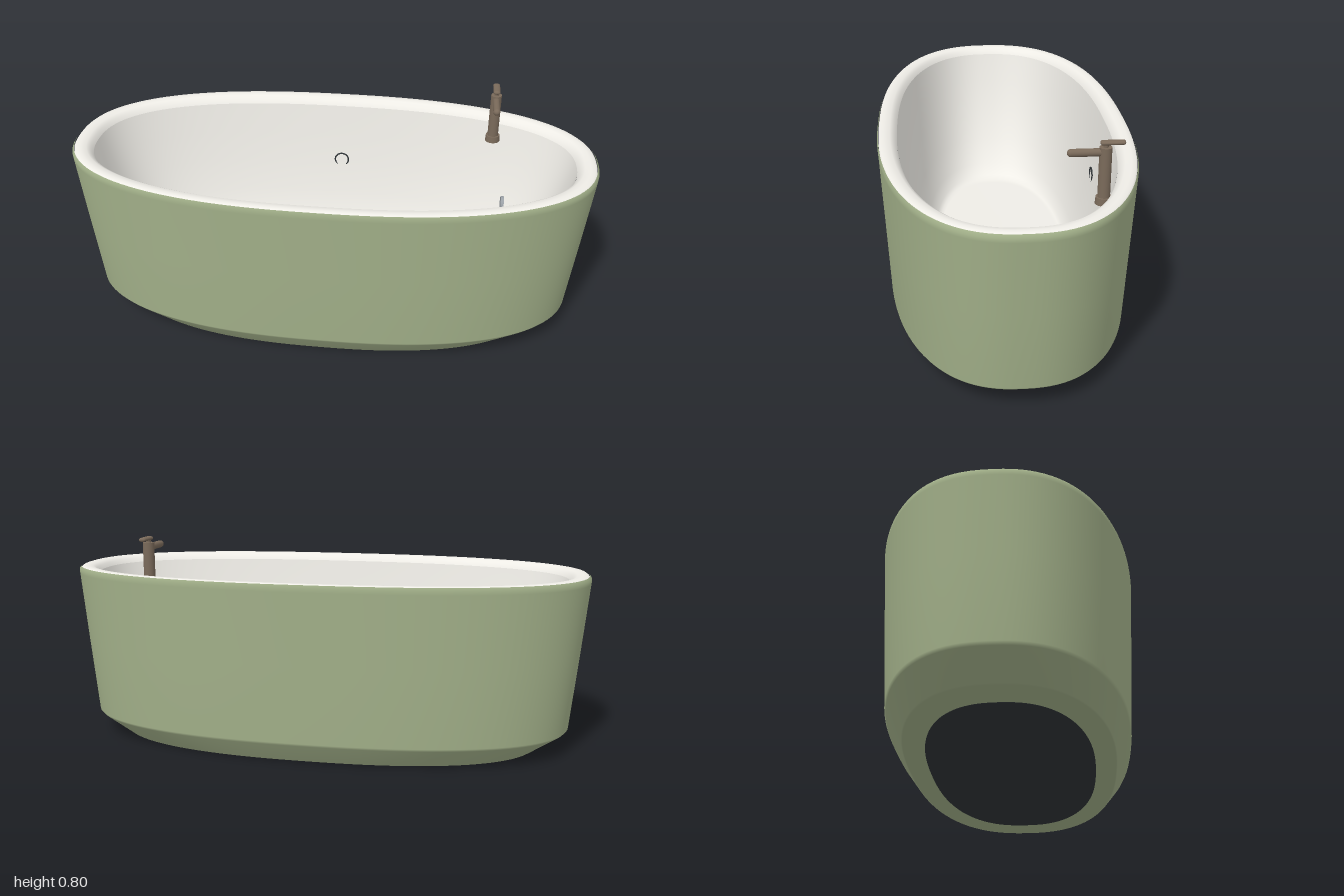
import * as THREE from 'three';

const SEGMENTS = 128;
const POWER = 2.4; // roundness of the oval plan

const material = (color, extra = {}) => new THREE.MeshStandardMaterial({ color, ...extra });

// Lofts oval rings [halfLength, halfDepth, y]; the surface faces the left of travel
function loft(rings) {
  const positions = [], indices = [];
  const soft = (v) => Math.sign(v) * Math.pow(Math.abs(v), 2 / POWER);
  rings.forEach(([a, b, y], r) => {
    for (let i = 0; i < SEGMENTS; i++) {
      const t = (i / SEGMENTS) * Math.PI * 2;
      positions.push(a * soft(Math.cos(t)), y, b * soft(Math.sin(t)));
      if (r === rings.length - 1) continue;
      const j = (i + 1) % SEGMENTS;
      const p = r * SEGMENTS + i, q = r * SEGMENTS + j;
      indices.push(p, p + SEGMENTS, q, q, p + SEGMENTS, q + SEGMENTS);
    }
  });
  const geometry = new THREE.BufferGeometry();
  geometry.setAttribute('position', new THREE.Float32BufferAttribute(positions, 3));
  geometry.setIndex(indices);
  geometry.computeVertexNormals();
  return geometry;
}

export function createModel() {
  const model = new THREE.Group();
  const green = material(0xa3b18a);
  const white = material(0xeeece6);
  const bronze = material(0x7a6a5a);
  const chrome = material(0x9aa0a6);
  const dark = material(0x2f3437);

  const add = (parent, name, geometry, mat, x = 0, y = 0, z = 0) => {
    const mesh = new THREE.Mesh(geometry, mat);
    mesh.name = name;
    mesh.position.set(x, y, z);
    parent.add(mesh);
    return mesh;
  };

  // Outer shell: underside, bevelled foot, flared wall
  add(model, 'outerShell', loft([
    [0.001, 0.001, 0.002], [0.81, 0.385, 0.002], [0.82, 0.39, 0.004],
    [0.93, 0.44, 0.076], [0.94, 0.445, 0.086], [0.97, 0.458, 0.37],
    [0.997, 0.471, 0.64], [0.998, 0.472, 0.655], [0.99, 0.468, 0.666],
  ]), green);

  // Rounded rim
  add(model, 'rim', loft([
    [0.99, 0.467, 0.66], [0.982, 0.462, 0.666], [0.965, 0.447, 0.668],
    [0.945, 0.425, 0.665], [0.93, 0.41, 0.655], [0.92, 0.4, 0.638],
  ]), white);

  // Basin: sloping walls down to a flat oval floor
  add(model, 'basin', loft([
    [0.92, 0.4, 0.64], [0.885, 0.38, 0.52], [0.84, 0.357, 0.4],
    [0.78, 0.327, 0.27], [0.71, 0.293, 0.17], [0.66, 0.268, 0.13],
    [0.63, 0.255, 0.12], [0.6, 0.243, 0.118], [0.001, 0.001, 0.116],
  ]), white);

  // Dark plate under the tub
  add(model, 'basePlate', loft([
    [0.001, 0.001, 0], [0.68, 0.31, 0], [0.68, 0.31, 0.004],
  ]), dark);

  // Floor drain: disc, ring and cross
  const drain = new THREE.Group();
  drain.name = 'drain';
  drain.position.y = 0.118;
  model.add(drain);
  add(drain, 'drainDisc', new THREE.CylinderGeometry(0.028, 0.028, 0.008, 32), chrome);
  add(drain, 'drainRing', new THREE.TorusGeometry(0.026, 0.004, 8, 32), chrome, 0, 0.004).rotation.x = Math.PI / 2;
  add(drain, 'drainPlug', new THREE.CylinderGeometry(0.01, 0.01, 0.012, 20), dark, 0, 0.001);

  // Overflow ring on the back wall and overflow cover near the tap end
  add(model, 'overflowRing', new THREE.TorusGeometry(0.028, 0.003, 8, 32), dark, 0, 0.41, -0.357);
  add(model, 'overflowCover', new THREE.CylinderGeometry(0.03, 0.03, 0.012, 32), chrome, 0.66, 0.46, 0).rotation.z = Math.PI / 2;

  // Tap: flange, post, spout and lever
  const tap = new THREE.Group();
  tap.name = 'tap';
  tap.position.set(0.618, 0, -0.292);
  model.add(tap);
  add(tap, 'tapFlange', new THREE.CylinderGeometry(0.027, 0.029, 0.025, 32), bronze, 0, 0.592, 0);
  add(tap, 'tapPost', new THREE.CylinderGeometry(0.021, 0.021, 0.2, 32), bronze, 0, 0.68, 0);
  add(tap, 'tapStem', new THREE.CylinderGeometry(0.009, 0.009, 0.02, 16), bronze, 0, 0.787, 0);
  add(tap, 'tapSpout', new THREE.CapsuleGeometry(0.0135, 0.105, 6, 20), bronze, 0, 0.762, 0.061).rotation.x = Math.PI / 2;
  const lever = add(tap, 'tapLever', new THREE.CapsuleGeometry(0.008, 0.068, 6, 20), bronze, 0, 0.795, -0.023);
  lever.rotation.x = Math.PI / 2;
  lever.scale.x = 1.7;

  return model;
}
